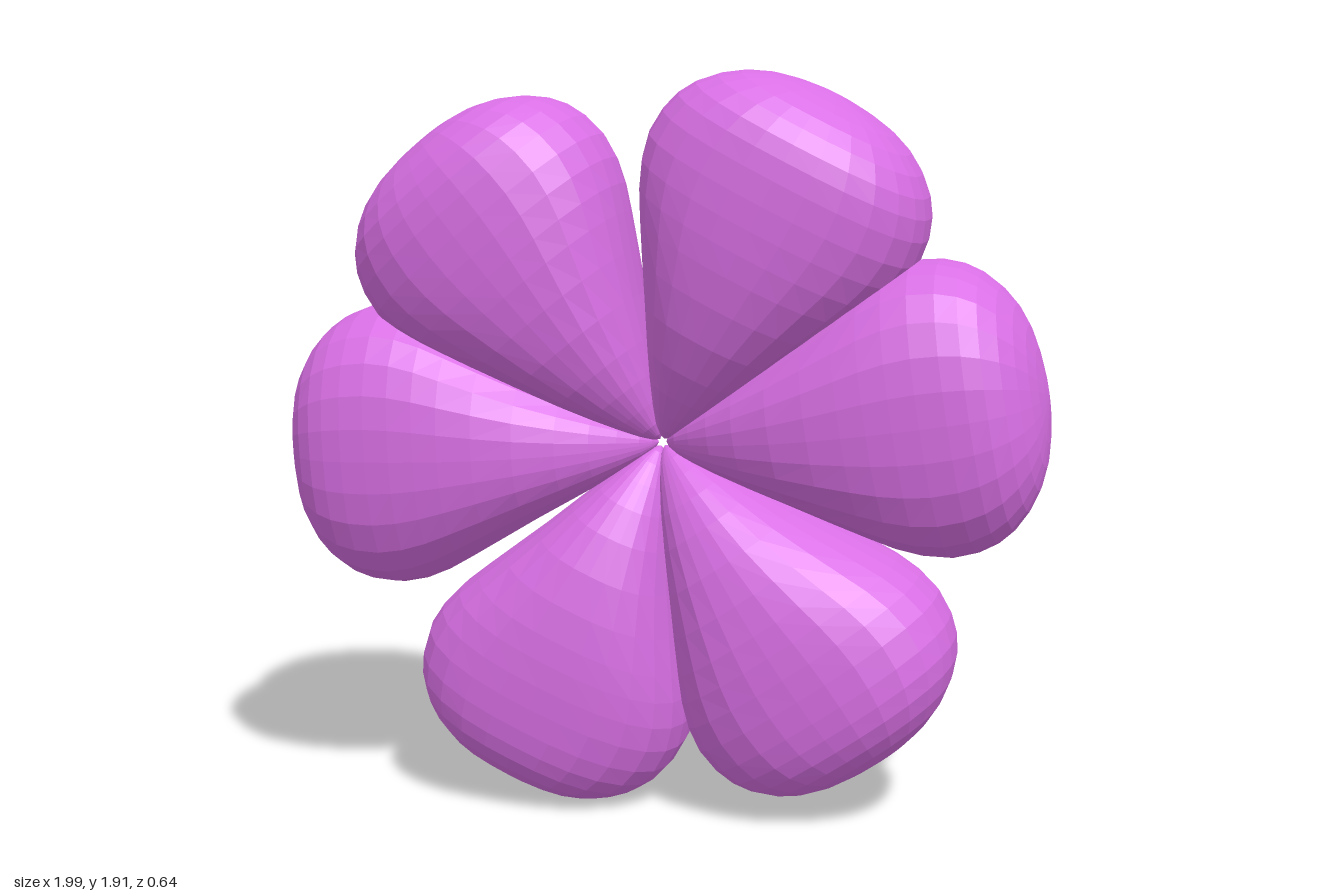
import * as THREE from 'three';

// Petal sections: [distance from centre, half width, half thickness]
const SECTIONS = [
  [0.01, 0, 0], [0.03, 0.025, 0.04], [0.1, 0.07, 0.105], [0.2, 0.125, 0.175], [0.35, 0.205, 0.24],
  [0.5, 0.29, 0.272], [0.6, 0.343, 0.282], [0.7, 0.373, 0.284], [0.8, 0.362, 0.278],
  [0.87, 0.326, 0.262], [0.93, 0.262, 0.22], [0.97, 0.18, 0.155], [0.99, 0.09, 0.08], [1, 0, 0],
];
const SIDES = 28;

// Rounded, slightly boxy teardrop growing along +y
function petalGeometry() {
  const curve = new THREE.CatmullRomCurve3(SECTIONS.map(([d, w, t]) => new THREE.Vector3(w, d, t)));
  const rings = curve.getPoints(20);
  rings.forEach((p) => { p.x = Math.max(p.x, 0); p.z = Math.max(p.z, 0); });
  const geometry = new THREE.LatheGeometry(rings.map((p) => new THREE.Vector2(1, p.y)), SIDES);
  const pos = geometry.attributes.position;
  for (let i = 0; i < pos.count; i++) {
    const ring = rings[i % rings.length];
    const c = pos.getX(i), s = pos.getZ(i);
    // superellipse cross-section
    const k = Math.pow(Math.pow(Math.abs(c), 2.5) + Math.pow(Math.abs(s), 2.5), -1 / 2.5);
    pos.setXYZ(i, c * k * ring.x, ring.y, s * k * ring.z);
  }
  geometry.computeVertexNormals();
  return geometry;
}

export function createModel() {
  const model = new THREE.Group();
  model.name = 'flower';
  const material = new THREE.MeshStandardMaterial({ color: 0xda70e6, flatShading: true });
  const geometry = petalGeometry();

  // Ring of six petals, unevenly spaced and leaning slightly forward at the top
  const ring = new THREE.Group();
  ring.name = 'petalRing';
  ring.position.y = 0.98;
  ring.rotation.x = 0.055;
  [9, 63, 129, 182, 246, 305].forEach((angle, i) => {
    const petal = new THREE.Mesh(geometry, material);
    petal.name = `petal${i + 1}`;
    petal.rotation.z = THREE.MathUtils.degToRad(angle - 90);
    ring.add(petal);
  });
  model.add(ring);
  return model;
}
